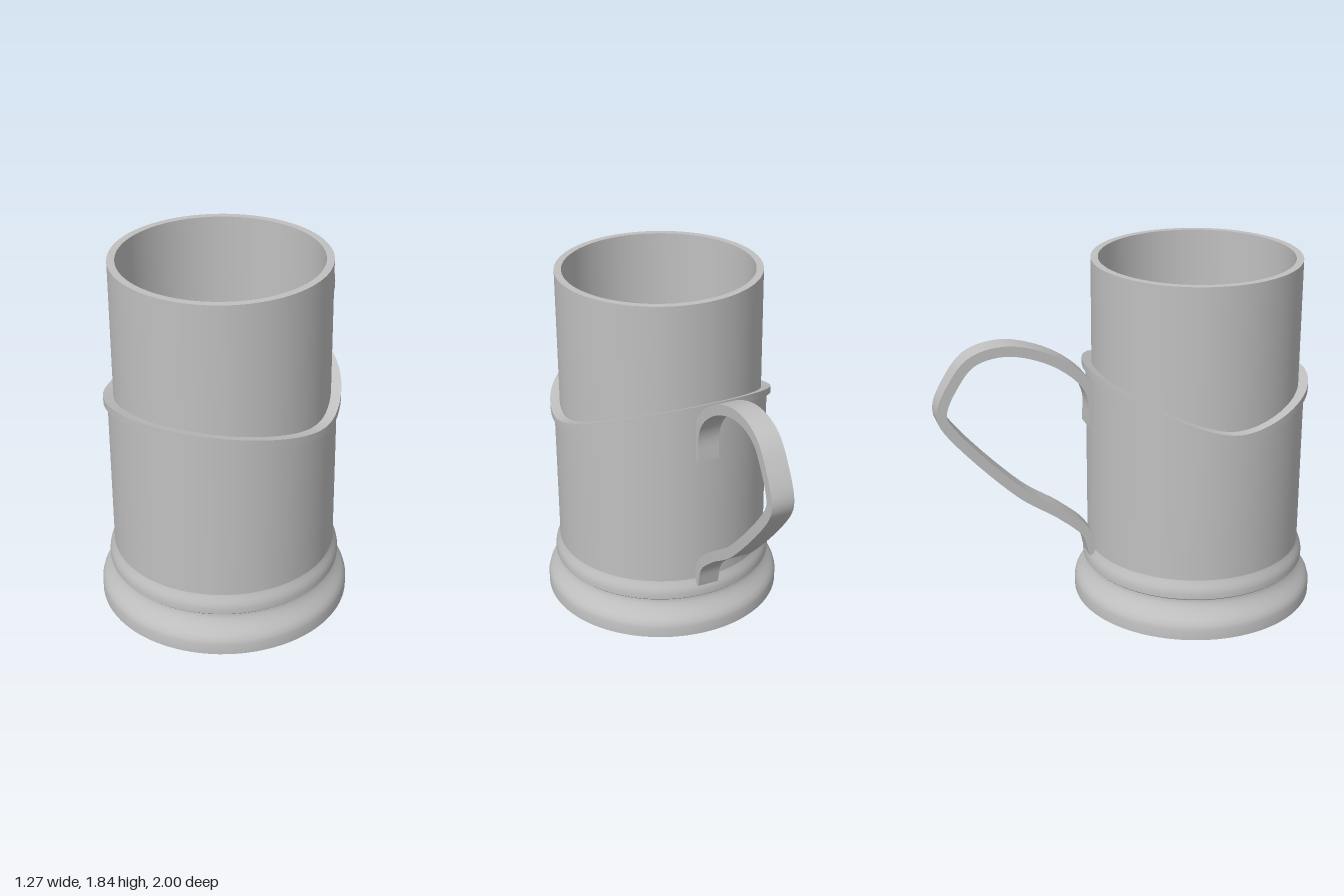
import * as THREE from 'three';
import { toCreasedNormals } from 'three/addons/utils/BufferGeometryUtils.js';

const AXIS_Z = 0.365; // the cup stands forward, the handle reaches back
const SEGMENTS = 96;

function lathe(profile) {
  return new THREE.LatheGeometry(profile.map(([r, y]) => new THREE.Vector2(r, y)), SEGMENTS);
}

// Height of the wavy holder rim: low at the sides, higher at front, highest at back
function rimHeight(z) {
  const s = z / 0.583 - 0.08;
  const u = s > 0 ? s / 0.92 : -s / 1.08;
  const k = 0.27;
  const rise = (Math.hypot(u, k) - k) / (Math.hypot(1, k) - k);
  return 1.095 + rise * (s > 0 ? 0.115 : 0.225);
}

// Raise the vertices above a given height so that they follow the rim
function followRim(geometry, above) {
  const p = geometry.attributes.position;
  for (let i = 0; i < p.count; i++) {
    if (p.getY(i) > above) p.setY(i, p.getY(i) + rimHeight(p.getZ(i)));
  }
  return geometry;
}

// Flat strip of even thickness swept along a side-view path
function handleGeometry(points, thickness, width) {
  const curve = new THREE.CatmullRomCurve3(points.map(([z, y]) => new THREE.Vector3(z, y, 0)), false, 'centripetal');
  const n = 80;
  const one = [], other = [];
  for (let i = 0; i <= n; i++) {
    const p = curve.getPointAt(i / n), t = curve.getTangentAt(i / n);
    const dx = -t.y * thickness / 2, dy = t.x * thickness / 2;
    one.push(new THREE.Vector2(p.x + dx, p.y + dy));
    other.push(new THREE.Vector2(p.x - dx, p.y - dy));
  }
  const shape = new THREE.Shape([...one, ...other.reverse()]);
  const g = new THREE.ExtrudeGeometry(shape, { depth: width, bevelEnabled: false });
  g.translate(0, 0, -width / 2);
  g.rotateY(-Math.PI / 2);
  return g;
}

export function createModel() {
  const group = new THREE.Group();
  const metal = new THREE.MeshStandardMaterial({ color: 0xc0c0c0 });
  metal.name = 'light grey';

  function add(name, geometry, z = AXIS_Z) {
    const mesh = new THREE.Mesh(toCreasedNormals(geometry, 0.6), metal);
    mesh.name = name;
    mesh.position.z = z;
    group.add(mesh);
  }

  // Tall open tumbler with a thin wall
  add('tumbler', lathe([[0, 0.1], [0.533, 0.1], [0.533, 1.84], [0.496, 1.84], [0.496, 0.14], [0, 0.14]]));

  // Flared foot with a round opening underneath
  add('foot', lathe([
    [0.335, 0.1], [0.335, 0], [0.635, 0], [0.635, 0.055], [0.629, 0.078], [0.615, 0.1],
    [0.594, 0.125], [0.577, 0.15], [0.567, 0.17], [0.563, 0.185], [0.563, 0.2], [0.53, 0.2],
  ]));

  // Bead above the groove
  add('bead', lathe([
    [0.55, 0.203], [0.581, 0.203], [0.588, 0.21], [0.588, 0.235], [0.584, 0.255], [0.576, 0.275], [0.567, 0.293], [0.563, 0.305],
  ]));

  // Holder sleeve, its top edge hidden inside the rim
  const sleeve = new THREE.CylinderGeometry(0.563, 0.563, 1, SEGMENTS, 1, true);
  sleeve.translate(0, -0.5, 0);
  const sp = sleeve.attributes.position;
  for (let i = 0; i < sp.count; i++) {
    sp.setY(i, sp.getY(i) < -0.5 ? 0.19 : rimHeight(sp.getZ(i)) - 0.015);
  }
  add('sleeve', sleeve);

  // Wavy rim band
  add('rim', followRim(lathe([[0.53, -0.038], [0.583, -0.038], [0.583, 0], [0.53, 0]]), -1));

  // Strap handle
  add('handle', handleGeometry([
    [-0.2, 1.01], [-0.2, 1.16], [-0.247, 1.26], [-0.41, 1.388], [-0.638, 1.457], [-0.81, 1.42], [-0.906, 1.308],
    [-0.97, 1.165], [-0.953, 1.1], [-0.584, 0.687], [-0.37, 0.532], [-0.236, 0.404], [-0.2, 0.28],
  ], 0.053, 0.116), 0);

  return group;
}
